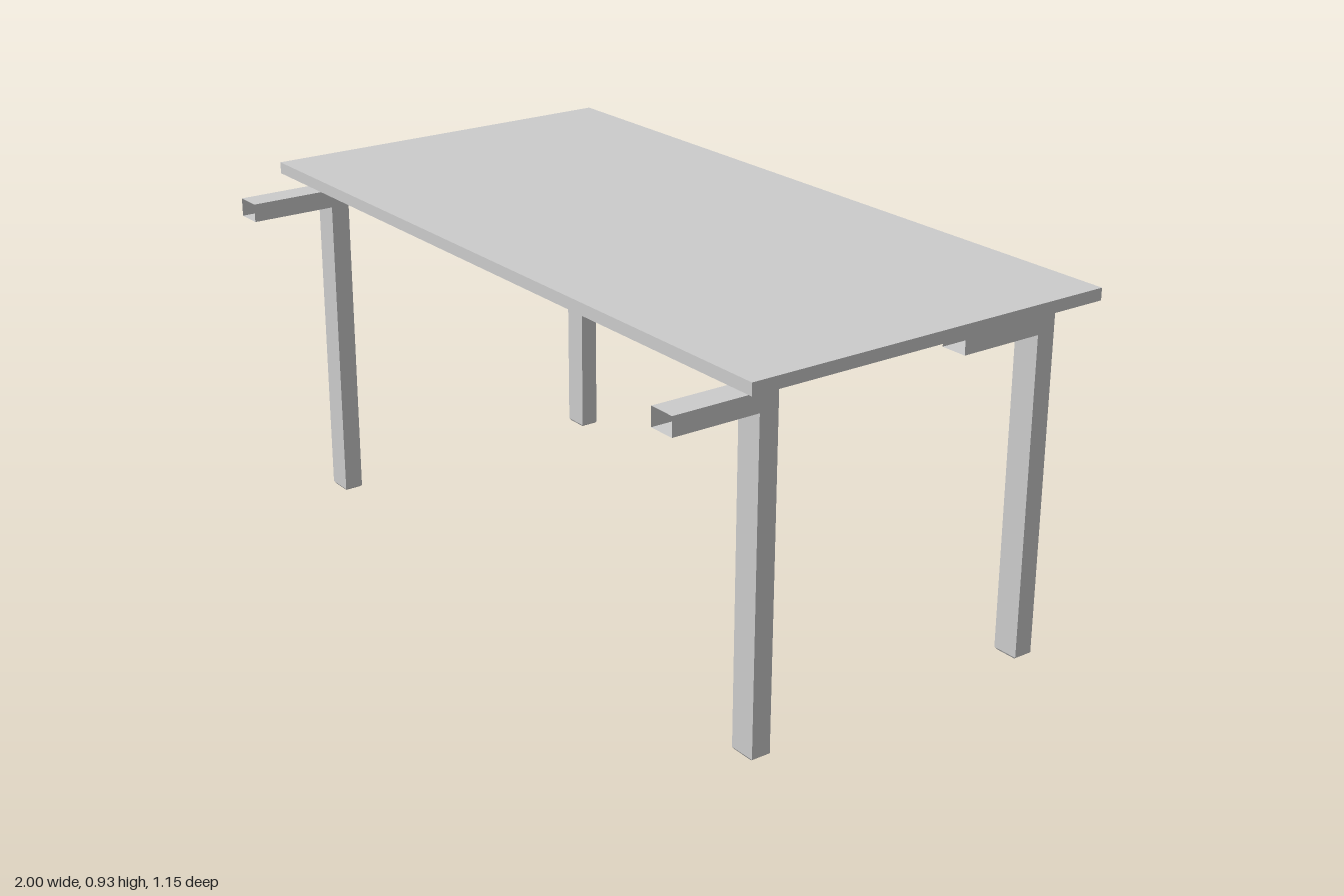
import * as THREE from 'three';

const WIDTH = 0.07, DEPTH = 0.05, REACH = 0.275;
const RAIL_BOTTOM = 0.82, RAIL_TOP = 0.867, FOOT = 0.005;

// L-shaped profile leg: upright with a forward rail whose front end is open
function legGeometry() {
  const shape = new THREE.Shape([
    [0, FOOT], [DEPTH, FOOT], [DEPTH, RAIL_BOTTOM],
    [REACH, RAIL_BOTTOM], [REACH, RAIL_TOP], [0, RAIL_TOP],
  ].map(([z, y]) => new THREE.Vector2(z, y)));
  const solid = new THREE.ExtrudeGeometry(shape, { depth: WIDTH, bevelEnabled: false });
  solid.translate(0, 0, -WIDTH / 2).rotateY(-Math.PI / 2);

  // drop the end face of the rail
  const p = solid.attributes.position;
  const kept = [];
  for (let i = 0; i < p.count; i += 3) {
    const onEnd = [0, 1, 2].every((k) => p.getZ(i + k) > REACH - 1e-4);
    if (!onEnd) for (let k = 0; k < 3; k++) kept.push(p.getX(i + k), p.getY(i + k), p.getZ(i + k));
  }
  const geometry = new THREE.BufferGeometry();
  geometry.setAttribute('position', new THREE.Float32BufferAttribute(kept, 3));
  geometry.computeVertexNormals();
  return geometry;
}

// thin pad under the leg, narrowing towards the floor
function footGeometry() {
  const geometry = new THREE.BoxGeometry(WIDTH, FOOT, DEPTH);
  const p = geometry.attributes.position;
  for (let i = 0; i < p.count; i++) {
    if (p.getY(i) < 0) {
      p.setX(i, p.getX(i) - Math.sign(p.getX(i)) * 0.006);
      p.setZ(i, p.getZ(i) - Math.sign(p.getZ(i)) * 0.003);
    }
  }
  geometry.computeVertexNormals();
  return geometry.translate(0, FOOT / 2, DEPTH / 2);
}

export function createModel() {
  const model = new THREE.Group();
  model.name = 'table';
  const solid = new THREE.MeshStandardMaterial({ color: 0xcccccc, flatShading: true });
  const open = new THREE.MeshStandardMaterial({
    color: 0xcccccc, flatShading: true, side: THREE.DoubleSide,
  });

  // floating top panel
  const top = new THREE.Mesh(new THREE.BoxGeometry(2, 0.03, 1), solid);
  top.name = 'tableTop';
  top.position.set(0, 0.91, -0.075);
  model.add(top);

  // four identical legs, all rails pointing forward
  const legShape = legGeometry();
  const footShape = footGeometry();
  for (const [zName, z] of [['front', 0.3], ['back', -0.5]]) {
    for (const [xName, x] of [['Left', 0.9], ['Right', -0.9]]) {
      const leg = new THREE.Group();
      leg.name = `${zName}${xName}Leg`;
      leg.position.set(x, 0, z);
      const frame = new THREE.Mesh(legShape, open);
      frame.name = 'legAndRail';
      const foot = new THREE.Mesh(footShape, solid);
      foot.name = 'foot';
      leg.add(frame, foot);
      model.add(leg);
    }
  }
  return model;
}
